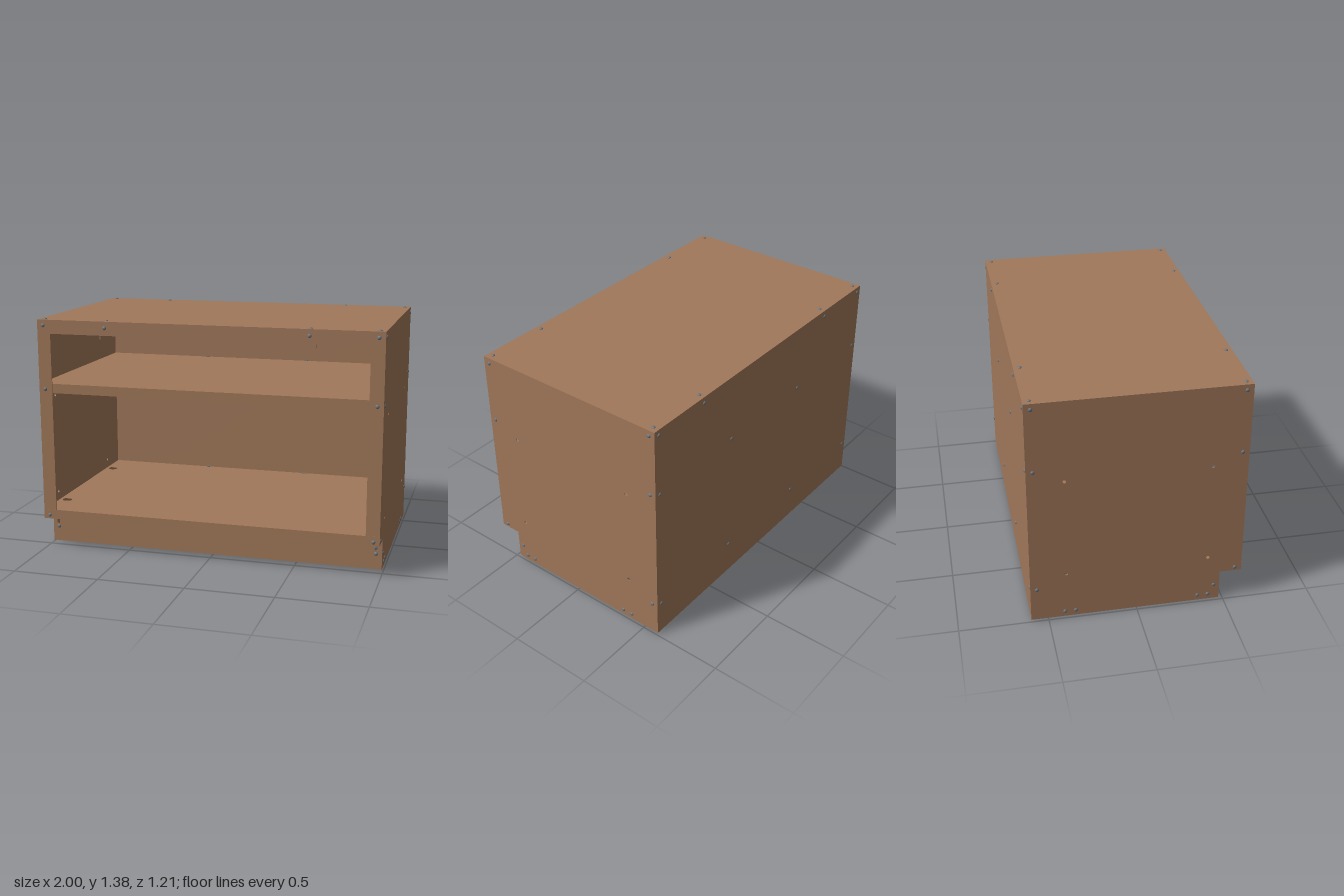
import * as THREE from 'three';

const material = (name, color, side = THREE.FrontSide) => {
  const m = new THREE.MeshStandardMaterial({ color, side });
  m.name = name;
  return m;
};

export function createModel() {
  const model = new THREE.Group();
  model.name = 'sheetMetalCabinet';
  const brown = material('brownPaint', 0xa0785a, THREE.DoubleSide);
  const steel = material('rivetSteel', 0x6c757d);
  const dark = material('darkRubber', 0x3c434b);
  const W = 0.993, D = 0.597, TOP = 1.37, T = 0.006;

  const add = (name, geometry, mat, parent = model) => {
    const mesh = new THREE.Mesh(geometry, mat);
    mesh.name = name;
    parent.add(mesh);
    return mesh;
  };
  // Box given by its limits on each axis
  const sheet = (name, [x0, x1], [y0, y1], [z0, z1], mat = brown, parent = model) => {
    const g = new THREE.BoxGeometry(x1 - x0, y1 - y0, z1 - z0);
    g.translate((x0 + x1) / 2, (y0 + y1) / 2, (z0 + z1) / 2);
    return add(name, g, mat, parent);
  };
  const outline = pts => new THREE.Shape(pts.map(p => new THREE.Vector2(...p)));
  const hole = (x, y, r) => new THREE.Path().absarc(x, y, r, 0, Math.PI * 2, true);
  const extrude = shape => new THREE.ExtrudeGeometry(shape, { depth: T, bevelEnabled: false, curveSegments: 12 });

  // Side panels with a toe-kick notch and through holes
  const side = outline([[-D + T, 0.01], [0.475, 0.01], [0.475, 0.19], [D, 0.19], [D, TOP - T], [-D + T, TOP - T]]);
  for (const z of [-0.397, 0.4]) for (const y of [0.3, 0.895]) side.holes.push(hole(z, y, 0.01));
  for (const s of [-1, 1]) {
    const g = extrude(side);
    g.rotateY(-Math.PI / 2); // profile x becomes z, thickness runs to -x
    g.translate(s > 0 ? W : -W + T, 0, 0);
    add(s > 0 ? 'leftSide' : 'rightSide', g, brown);
  }

  // Outer shell
  sheet('topPanel', [-W, W], [TOP - T, TOP], [-D, D], brown);
  sheet('backPanel', [-W, W], [0.01, TOP - T], [-D, -D + T]);
  sheet('topFrontLip', [-W + T, W - T], [1.29, TOP - T], [D - T, D]);
  sheet('topLipReturn', [-0.98, 0.98], [1.29, 1.29 + T], [D - 0.035, D - T]);

  // Front columns, their returns and the top clips
  for (const s of [-1, 1]) {
    const span = (a, b) => (s > 0 ? [a, b] : [-b, -a]);
    sheet('frontColumn', span(0.915, W - T), [0.245, 1.29], [D - T, D]);
    sheet('kickFlange', span(0.975, W - T), [0.015, 0.19], [0.455, 0.463]);
    sheet('topClip', span(0.614, 0.619), [1.268, 1.29], [D - 0.03, D - 0.012]);
  }

  // Shelf
  sheet('shelf', [-W + T, W - T], [1.0 - T, 1.0], [-D + T, D - T]);
  sheet('shelfFrontLip', [-W + T, W - T], [0.945, 1.0], [D - 2 * T, D - T - 0.0005]);
  sheet('shelfLipReturn', [-0.98, 0.98], [0.945, 0.945 + T], [D - 0.035, D - 2 * T]);
  sheet('shelfRearLip', [-W + T, W - T], [0.945, 1.0 - T], [-D + T, -D + 2 * T]);

  // Floor with access holes above the feet
  const FX = 0.94, FZ = [0.38, -0.377];
  const floor = outline([[-W + T, -D + T], [W - T, -D + T], [W - T, D - T], [-W + T, D - T]]);
  for (const x of [-FX, FX]) for (const z of FZ) floor.holes.push(hole(x, z, 0.03));
  const floorGeo = extrude(floor);
  floorGeo.rotateX(Math.PI / 2);
  floorGeo.translate(0, 0.245, 0);
  add('floor', floorGeo, brown);
  sheet('floorFrontLip', [-W, W], [0.19, 0.245], [D - T, D + 0.001]);
  sheet('floorLipReturn', [-W + T, W - T], [0.19, 0.19 + T], [0.45, D - T]);
  sheet('floorRearLip', [-W + T, W - T], [0.19, 0.245 - T], [-D + T, -D + 2 * T]);

  // Recessed kick plate with an upright slot at each end
  const kick = outline([[-W + T, 0.015], [W - T, 0.015], [W - T, 0.19], [-W + T, 0.19]]);
  for (const x of [-0.96, 0.96]) {
    const slot = new THREE.Path();
    slot.absarc(x, 0.155, 0.009, 0, Math.PI, false);
    slot.absarc(x, 0.13, 0.009, Math.PI, Math.PI * 2, false);
    kick.holes.push(slot);
  }
  const kickGeo = extrude(kick);
  kickGeo.translate(0, 0, 0.475 - T);
  add('kickPlate', kickGeo, brown);
  sheet('kickReturn', [-W + T, W - T], [0.012, 0.012 + T], [0.435, 0.475 - T]);

  // Levelling feet on angle brackets
  for (const s of [-1, 1]) for (const z of FZ) {
    const foot = new THREE.Group();
    foot.name = 'levellingFoot';
    foot.position.set(s * FX, 0, z);
    model.add(foot);
    const disc = (name, r0, r1, h, y, mat, n = 20) =>
      add(name, new THREE.CylinderGeometry(r0, r1, h, n).translate(0, y + h / 2, 0), mat, foot);
    disc('footPad', 0.032, 0.04, 0.014, 0, dark);
    disc('footHub', 0.016, 0.026, 0.012, 0.014, dark);
    disc('footStud', 0.009, 0.009, 0.09, 0.02, steel, 12);
    disc('footNut', 0.018, 0.018, 0.012, 0.074, steel, 6);
    const x = s > 0 ? [-0.035, W - T - FX] : [FX - W + T, 0.035];
    const wall = W - T - FX;
    sheet('bracketShelf', x, [0.066, 0.074], [-0.045, 0.045], dark, foot);
    sheet('bracketWall', s > 0 ? [wall - T, wall] : [-wall, T - wall], [0.025, 0.066], [-0.045, 0.045], dark, foot);
  }

  // Domed rivets
  const dome = new THREE.SphereGeometry(0.0115, 12, 5, 0, Math.PI * 2, 0, Math.PI / 2).scale(1, 0.6, 1);
  const up = new THREE.Vector3(0, 1, 0);
  const rivet = (x, y, z, nx, ny, nz) => {
    const mesh = add('rivet', dome, steel);
    mesh.position.set(x, y, z);
    mesh.quaternion.setFromUnitVectors(up, new THREE.Vector3(nx, ny, nz));
  };
  for (const s of [-1, 1]) {
    for (const f of [-1, 1]) {
      for (const y of [1.337, 0.968, 0.212]) {
        rivet(s * 0.958, y, f * D, 0, 0, f);
        rivet(s * W, y, f * 0.56, s, 0, 0);
      }
      rivet(s * 0.585, 1.333, f * D, 0, 0, f);
      for (const x of [0.958, 0.585]) rivet(s * x, TOP, f * 0.562, 0, 1, 0);
    }
    for (const y of [0.968, 0.212]) rivet(s * 0.33, y, -D, 0, 0, -1);
    for (const z of [0.41, 0.35, -0.347, -0.407]) rivet(s * W, 0.043, z, s, 0, 0);
    rivet(s * W, 0.104, 0.442, s, 0, 0);
    rivet(s * 0.958, 0.104, 0.475, 0, 0, 1);
    // Small rear locating tabs on shelf and floor
    for (const y of [1.0, 0.245]) sheet('rearTab', [s * 0.33 - 0.01, s * 0.33 + 0.01], [y, y + 0.005], [-D + T, -D + 0.018], steel);
  }
  return model;
}
